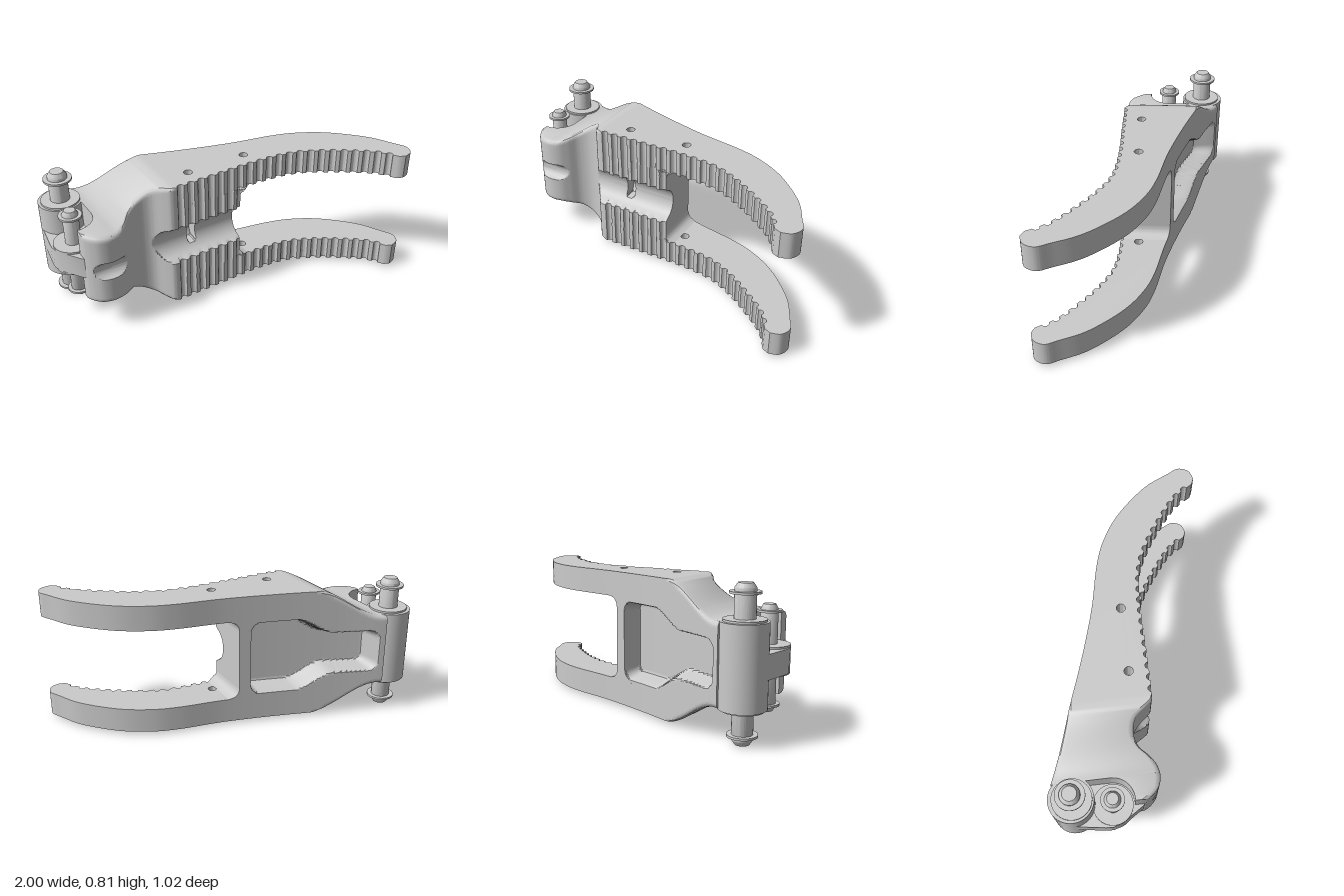
import * as THREE from 'three';
import { toCreasedNormals } from 'three/addons/utils/BufferGeometryUtils.js';

const MID = 0.4075, H = 0.388, INNER = 0.243;
const mat = new THREE.MeshStandardMaterial({ color: 0xcccccc });
const { clamp, smoothstep, lerp } = THREE.MathUtils;

function spline(pts) {
  return new THREE.SplineCurve(pts.map(p => new THREE.Vector2(p[0], p[1])));
}
// z of a curve at a given x
function lookup(curve) {
  const p = curve.getPoints(400);
  return x => {
    let i = 1;
    while (i < p.length - 1 && p[i].x < x) i++;
    const a = p[i - 1], b = p[i];
    return lerp(a.y, b.y, clamp((x - a.x) / (b.x - a.x || 1), 0, 1));
  };
}

// Plan outline, as (x, z)
const rootCurve = spline([[-0.895, 0.01], [-0.87, 0.05], [-0.83, 0.085], [-0.77, 0.1], [-0.71, 0.087],
  [-0.66, 0.05], [-0.61, 0], [-0.545, -0.02], [-0.476, 0], [-0.425, 0.065], [-0.4, 0.093], [-0.37, 0.1]]);
const gripCurve = spline([[-0.36, 0.1], [-0.1, 0.1], [0.16, 0.1], [0.38, 0.125], [0.54, 0.195],
  [0.67, 0.28], [0.81, 0.39], [0.885, 0.495]]);
const backCurve = spline([[-0.8, -0.505], [-0.74, -0.485], [-0.5, -0.385], [-0.18, -0.27], [0.14, -0.175],
  [0.41, -0.118], [0.57, -0.062], [0.73, 0.04], [0.89, 0.21], [0.97, 0.36], [1, 0.43], [0.975, 0.49], [0.92, 0.51]]);
const rootZ = lookup(rootCurve), backZ = lookup(backCurve);

// Scalloped grip grooves, by distance along the front edge
const PITCH = 0.065, NOTCH = 0.019;
function notch(s) {
  const d = s - 0.02 - PITCH * Math.round((s - 0.02) / PITCH);
  return Math.abs(d) < NOTCH ? Math.sqrt(NOTCH * NOTCH - d * d) : 0;
}

const halfHeight = x => lerp(0.22, H, smoothstep(x, -0.74, -0.37));
function edgeDrop(x, y, h) {
  const e = 0.03 * clamp((-0.36 - x) / 0.1, 0, 1), d = Math.max(e - (h - Math.abs(y)), 0);
  return e - Math.sqrt(Math.max(e * e - d * d, 0));
}

// Front face: lobe, grip grooves, lengthwise channel and blind slot
function frontZ(x, y, h) {
  let z = x < -0.37 ? rootZ(x) - edgeDrop(x, y, h) : 0.1 - notch(x + 0.36);
  const r = x < -0.58 ? 0.055 : 0.11;
  if (Math.abs(y) < r) z = Math.min(z, 0.107 - Math.sqrt(r * r - y * y));
  const slot = Math.hypot(x + 0.23, Math.max(Math.abs(y) - 0.043, 0));
  return slot < 0.026 ? z - 0.06 : z;
}
// Back face with the tapering pocket
function pocketZ(x, y, h) {
  const w = lerp(0.13, 0.225, smoothstep(x, -0.48, -0.26)), r = 0.06;
  const dx = Math.min(x + 0.73, -0.005 - x), dy = w - Math.abs(y);
  const d = r - Math.hypot(Math.max(r - dx, 0), Math.max(r - dy, 0));
  return backZ(x) + edgeDrop(x, y, h) + 0.13 * smoothstep(d, 0, 0.028);
}

function mesh(name, geo, crease = 0.6) {
  const m = new THREE.Mesh(crease ? toCreasedNormals(geo, crease) : geo, mat);
  m.name = name;
  return m;
}

// Solid made of closed cross-sections between a front and a back surface
function slab(name, x0, x1, cols, rows, height, front, back, shift = () => 0) {
  const pos = [], idx = [], n = 2 * (rows + 1);
  for (let i = 0; i <= cols; i++) {
    const xc = lerp(x0, x1, i / cols), h = height(xc);
    for (let k = 0; k < n; k++) {
      const isFront = k <= rows, j = isFront ? k : n - 1 - k;
      const y = h * (2 * j / rows - 1), x = xc + shift(xc, y);
      pos.push(x, y, (isFront ? front : back)(x, y, h));
    }
  }
  for (let i = 0; i < cols; i++) for (let k = 0; k < n; k++) {
    const k1 = (k + 1) % n, a = i * n + k, b = a + n, c = (i + 1) * n + k1, d = i * n + k1;
    idx.push(a, b, c, a, c, d);
  }
  const o = cols * n;
  for (let j = 0; j < rows; j++) {
    const f0 = j, f1 = j + 1, b0 = n - 1 - j, b1 = n - 2 - j;
    idx.push(o + b0, o + b1, o + f1, o + b0, o + f1, o + f0);
    idx.push(b0, f1, b1, b0, f0, f1);
  }
  const g = new THREE.BufferGeometry();
  g.setAttribute('position', new THREE.Float32BufferAttribute(pos, 3));
  g.setIndex(idx);
  return mesh(name, g);
}

// Upright prism from an (x, z) outline
function prism(name, pts, y0, y1, holes = []) {
  const s = new THREE.Shape(pts.map(p => new THREE.Vector2(p.x, -p.y)));
  for (const [x, z, r] of holes) s.holes.push(new THREE.Path().absarc(x, -z, r, 0, Math.PI * 2, true));
  const g = new THREE.ExtrudeGeometry(s, { depth: y1 - y0, bevelEnabled: false, curveSegments: 16 });
  g.rotateX(-Math.PI / 2).translate(0, y0, 0);
  return mesh(name, g);
}

function disc(name, x, y, z, r, t) {
  const m = mesh(name, new THREE.CylinderGeometry(r, r, t, 48), 0);
  m.position.set(x, y, z);
  return m;
}

// Pin with chamfered ends, retaining rings and washers
function pin(name, x, z, r, half, ringY, ringR, washerY, washerR) {
  const g = new THREE.Group();
  g.name = name;
  const p = [[0, -half], [r * 0.7, -half], [r, -half + 0.025], [r, half - 0.025], [r * 0.7, half], [0, half]];
  const shaft = mesh('pinShaft', new THREE.LatheGeometry(p.map(q => new THREE.Vector2(...q)), 40));
  shaft.position.set(x, 0, z);
  g.add(shaft);
  for (const s of [-1, 1]) {
    g.add(disc('retainingRing', x, s * ringY, z, ringR, 0.012));
    g.add(disc('washer', x, s * washerY, z, washerR, 0.012));
  }
  return g;
}

export function createModel() {
  const model = new THREE.Group(), body = new THREE.Group();
  model.name = 'clampJaw';
  body.name = 'jawAssembly';
  body.position.y = MID;
  model.add(body);

  // Lobe in front of the second pin, scooped round it
  const scoop = x => -0.17 + Math.sqrt(Math.max(0.0144 - (x + 0.88) ** 2, 0));
  body.add(slab('lobe', -0.893, -0.76, 26, 48, halfHeight, frontZ, scoop));

  // Flared root, then the core between the two rails
  body.add(slab('flaredRoot', -0.76, -0.36, 64, 72, halfHeight, frontZ, pocketZ));
  const fillet = (x, y) => {
    const r = 0.06, d = Math.max(Math.abs(y) - (INNER - r), 0);
    return clamp(x / 0.06, 0, 1) * (r - Math.sqrt(Math.max(r * r - d * d, 0)));
  };
  body.add(slab('core', -0.36, 0.06, 90, 56, () => INNER, frontZ, pocketZ, fillet));

  // Curved arms with grip teeth and cross holes
  const outline = [], length = gripCurve.getLength();
  gripCurve.arcLengthDivisions = 800;
  gripCurve.updateArcLengths();
  for (let i = 0; i <= 420; i++) {
    const u = i / 420, p = gripCurve.getPointAt(u), t = gripCurve.getTangentAt(u);
    const d = u > 0.985 ? 0 : notch(u * length);
    outline.push(new THREE.Vector2(p.x + t.y * d, p.y - t.x * d));
  }
  const back = backCurve.getPoints(160).filter(p => p.x > -0.355).reverse();
  outline.push(...back, new THREE.Vector2(-0.36, backZ(-0.36)));
  const holes = [[-0.23, -0.01, 0.025], [0.14, -0.01, 0.025]];
  body.add(prism('upperArm', outline, INNER, H, holes));
  body.add(prism('lowerArm', outline, -H, -INNER, holes));

  // Hinge barrel and the narrow link at mid height
  body.add(disc('hingeBarrel', -0.85, 0, -0.39, 0.125, 0.44));
  const link = [[-0.972, -0.4], [-0.998, -0.22], [-1, -0.18], [-0.985, -0.13], [-0.9, 0],
    [-0.85, 0.03], [-0.74, -0.1], [-0.74, -0.4]].map(p => new THREE.Vector2(...p));
  body.add(prism('link', link, -0.065, 0.065));

  body.add(pin('longPin', -0.85, -0.385, 0.055, MID, 0.36, 0.08, 0.225, 0.11));
  body.add(pin('shortPin', -0.88, -0.17, 0.045, 0.28, 0.245, 0.065, 0.07, 0.112));
  return model;
}
